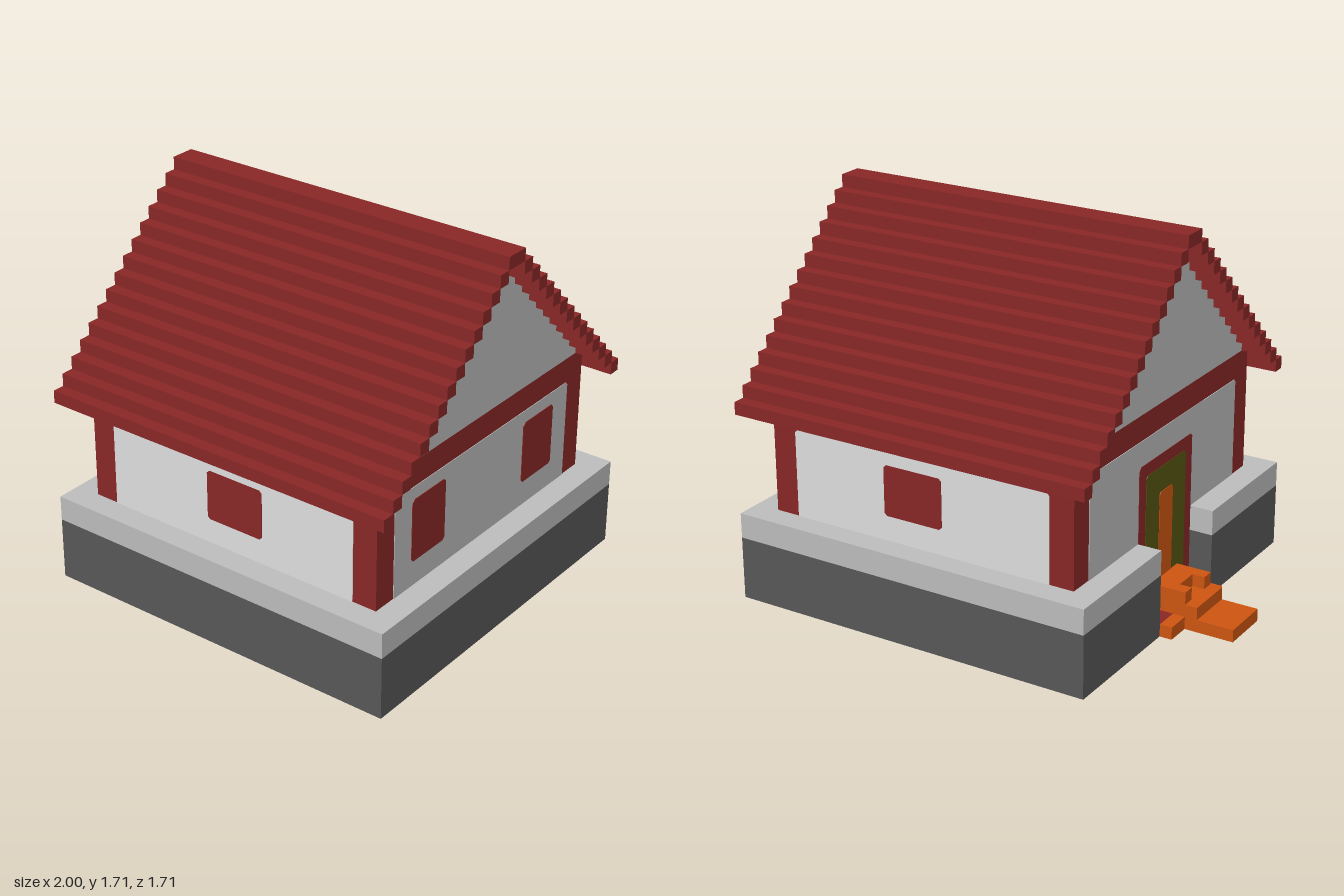
import * as THREE from 'three';

const V = 2 / 35; // one block; all part sizes below are in blocks
const X0 = -12.5, X1 = 17.5; // base and roof ends
const W0 = -10.5, W1 = 15.5; // wall ends

function material(name, color) {
  const m = new THREE.MeshStandardMaterial({ color });
  m.name = name;
  return m;
}

export function createModel() {
  const red = material('dark red', 0x882626);
  const pale = material('pale grey', 0xdddddd);
  const grey = material('mid grey', 0xbbbbbb);
  const dark = material('dark grey', 0x575757);
  const orange = material('burnt orange', 0xcc5511);
  const olive = material('olive', 0x555511);

  const house = new THREE.Group();
  house.name = 'house';

  function add(parent, name, geometry, mat) {
    const mesh = new THREE.Mesh(geometry, mat);
    mesh.name = name;
    parent.add(mesh);
    return mesh;
  }

  // Box given by its limits in blocks
  function box(parent, name, mat, x0, x1, y0, y1, z0, z1) {
    const g = new THREE.BoxGeometry((x1 - x0) * V, (y1 - y0) * V, (z1 - z0) * V);
    g.translate((x0 + x1) / 2 * V, (y0 + y1) / 2 * V, (z0 + z1) / 2 * V);
    return add(parent, name, g, mat);
  }

  // Thin painted plate with slightly clipped corners
  function plate(parent, name, mat, u0, u1, y0, y1, height, clipBottom = true) {
    const c = 0.012, b = clipBottom ? c : 0;
    const [l, r, d, t] = [u0 * V, u1 * V, y0 * V, y1 * V];
    const pts = [[l + b, d], [r - b, d], [r, d + b], [r, t - c], [r - c, t], [l + c, t], [l, t - c], [l, d + b]];
    const s = new THREE.Shape(pts.map(([x, y]) => new THREE.Vector2(x, y)));
    return add(parent, name, new THREE.ExtrudeGeometry(s, { depth: height, bevelEnabled: false }), mat);
  }

  // Base slabs with a notch for the doorway
  function slab(name, mat, y0, y1) {
    const pts = [[X0, -15], [X1, -15], [X1, 15], [X0, 15], [X0, 4], [W0, 4], [W0, -4], [X0, -4]];
    const s = new THREE.Shape(pts.map(([x, y]) => new THREE.Vector2(x * V, y * V)));
    const g = new THREE.ExtrudeGeometry(s, { depth: (y1 - y0) * V, bevelEnabled: false });
    g.rotateX(-Math.PI / 2);
    g.translate(0, y0 * V, 0);
    add(house, name, g, mat);
  }
  slab('foundation', dark, 0, 5);
  slab('foundationTrim', grey, 5, 7);

  // Timber wall body and stepped gable
  box(house, 'wallFrame', red, W0, W1, 7, 17, -13, 13);
  const gablePts = [];
  for (let i = 2; i < 14; i++) gablePts.push([14 - i, 15 + i], [14 - i, 16 + i]);
  const outline = [...gablePts, ...gablePts.map(([z, y]) => [-z, y]).reverse()];
  const gableShape = new THREE.Shape(outline.map(([z, y]) => new THREE.Vector2(z * V, y * V)));
  const gable = new THREE.ExtrudeGeometry(gableShape, { depth: (W1 - W0) * V, bevelEnabled: false });
  gable.rotateY(Math.PI / 2);
  gable.translate(W0 * V, 0, 0);
  add(house, 'gable', gable, grey);

  // Roof courses and ridge
  for (let i = 0; i < 14; i++) {
    for (const [z0, z1] of [[14 - i, 15 - i], [i - 15, i - 14]]) {
      box(house, 'roofCourse', red, X0, X1, 15 + i, 16 + i, z0, z1);
    }
  }
  box(house, 'roofRidge', red, X0, X1, 29, 30, -1, 1);

  // One group per wall face, with local x along the wall and z outwards
  function face(name, x, z, turn) {
    const g = new THREE.Group();
    g.name = name;
    g.position.set(x * V, 0, z * V);
    g.rotation.y = turn;
    house.add(g);
    return g;
  }

  // Long walls: pale panel with one window
  for (const side of [1, -1]) {
    const f = face(side > 0 ? 'frontWall' : 'backWall', 2.5, 13 * side, side > 0 ? 0 : Math.PI);
    plate(f, 'wallPanel', pale, -11, 11, 7, 14, 0.003, false);
    const mid = 0.5 * side;
    plate(f, 'window', red, mid - 2.5, mid + 2.5, 9, 13, 0.006);
  }

  // Gable wall with two windows
  const left = face('leftWall', W1, 0, Math.PI / 2);
  plate(left, 'wallPanel', grey, -11, 11, 7, 15, 0.003, false);
  for (const u of [-9, 5]) plate(left, 'window', red, u, u + 4, 9, 14, 0.006);

  // Gable wall with the door
  const right = face('rightWall', W0, 0, -Math.PI / 2);
  plate(right, 'wallPanel', grey, -11, 11, 7, 15, 0.003, false);
  plate(right, 'doorFrame', red, -4, 4, 1, 13, 0.005, false);
  plate(right, 'door', olive, -3, 3, 1, 12, 0.007, false);
  plate(right, 'doorInset', orange, -1, 1, 1, 10, 0.009, false);

  // Threshold and steps
  box(house, 'threshold', red, X0, W0, 0, 1, -4, 4);
  box(house, 'landing', orange, X0, W0, 1, 3, -2, 2);
  box(house, 'lowerStep', orange, -17.5, -14.5, 0, 1, -2, 2);
  box(house, 'middleStep', orange, -14.5, -13.5, 0, 2, -2, 2);
  box(house, 'upperStep', orange, -13.5, X0, 0, 2, -1, 1);
  for (const s of [1, -1]) {
    const span = (a, b) => (s > 0 ? [a, b] : [-b, -a]);
    box(house, 'stepCheek', orange, -13.5, X0, 0, 3, ...span(1, 2));
    box(house, 'stepWing', orange, -13.5, X0, 0, 1, ...span(2, 4));
  }
  return house;
}
